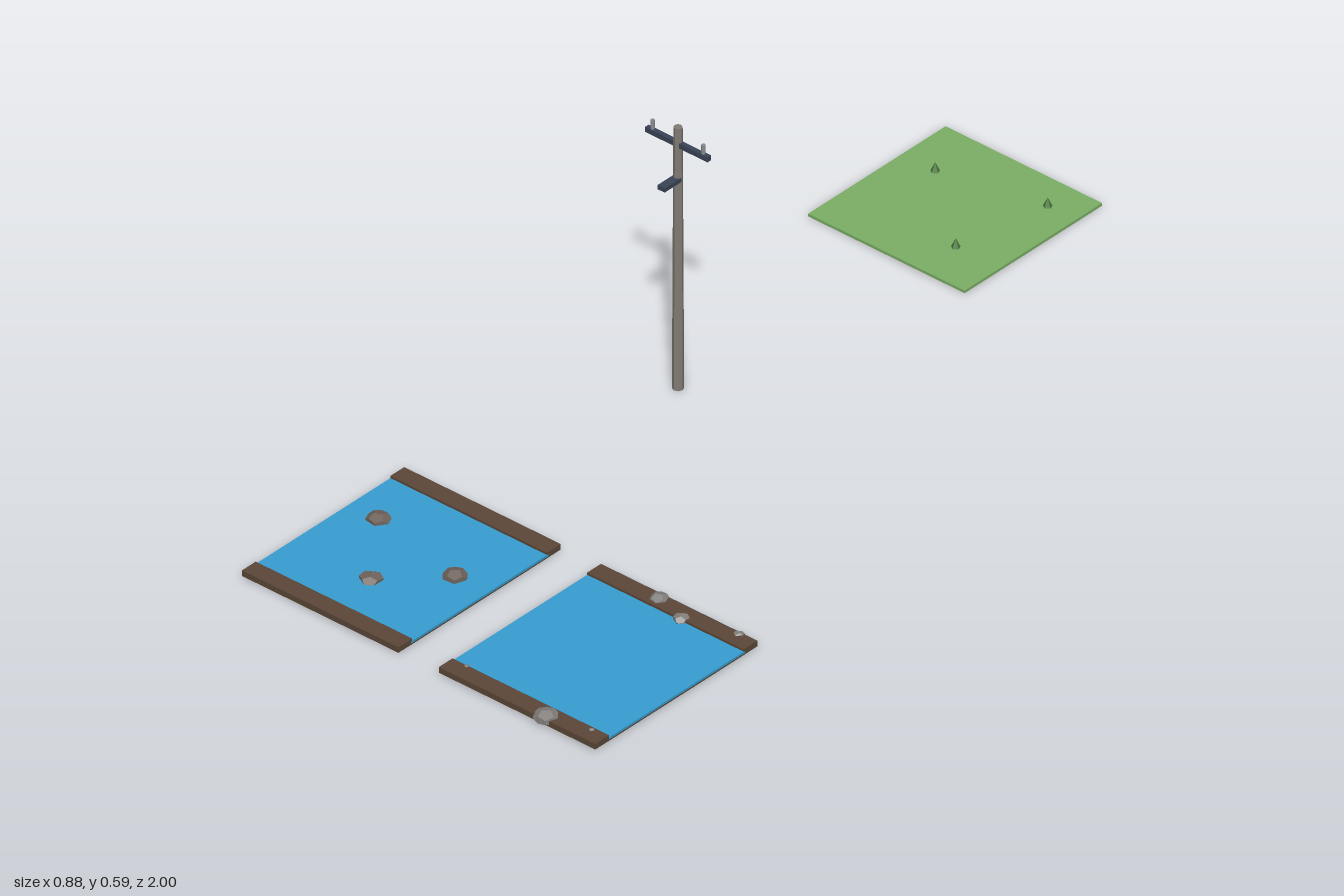
import * as THREE from 'three';

const mat = (name, color, flatShading = true) => {
  const m = new THREE.MeshStandardMaterial({ color, flatShading });
  m.name = name;
  return m;
};

export function createModel() {
  const model = new THREE.Group();
  model.name = 'riverAndPoleSet';
  const water = mat('water', 0x379fd2);
  const dirt = mat('dirt', 0x5c4838);
  const grass = mat('grass', 0x7cb065);
  const tuftGreen = mat('tuftGreen', 0x4c7a3e);
  const wood = mat('weatheredWood', 0x827d75);
  const metal = mat('darkMetal', 0x3a4456);
  const ceramic = mat('ceramic', 0x8a8d90);
  const riverRock = mat('riverRock', 0x71665e);
  const bankRock = mat('bankRock', 0x85827f);

  const add = (parent, name, geometry, material, x, y, z) => {
    const mesh = new THREE.Mesh(geometry, material);
    mesh.name = name;
    mesh.position.set(x, y, z);
    parent.add(mesh);
    return mesh;
  };
  const group = (name, x, z) => {
    const g = new THREE.Group();
    g.name = name;
    g.position.set(x, 0, z);
    model.add(g);
    return g;
  };
  const box = (w, h, d) => new THREE.BoxGeometry(w, h, d);

  // Squashed, turned stones: [x, y, z, radius, half height]
  const addRocks = (parent, material, list) => list.forEach(([x, y, z, r, h], i) => {
    const geo = new THREE.DodecahedronGeometry(1, 0);
    geo.rotateY(i * 1.7 + 0.4);
    geo.scale(r, h, r);
    add(parent, 'rock', geo, material, x, y, z);
  });

  // River tiles: bed, water sheet and a raised bank on each side
  const S = 0.388;
  const riverTile = (name, x) => {
    const tile = group(name, x, 0.757);
    add(tile, 'riverBed', box(S, 0.003, S), dirt, 0, 0.0042, 0);
    add(tile, 'waterSheet', box(S, 0.005, S), water, 0, 0.008, 0);
    for (const side of [-1, 1])
      add(tile, 'bank', box(S, 0.0125, 0.039), dirt, 0, 0.0092, side * 0.2095);
    return tile;
  };
  const rocky = riverTile('rockyRiverTile', -0.245);
  addRocks(rocky, riverRock, [
    [-0.12, 0.012, -0.072, 0.025, 0.012],
    [0, 0.011, 0.085, 0.025, 0.01],
    [0.114, 0.013, -0.022, 0.025, 0.014],
  ]);
  const clear = riverTile('clearRiverTile', 0.243);
  addRocks(clear, bankRock, [
    [-0.038, 0.012, -0.215, 0.021, 0.013],
    [0.036, 0.012, -0.194, 0.017, 0.01],
    [0.062, 0.0135, 0.217, 0.026, 0.013],
    [0.152, 0.012, -0.224, 0.012, 0.007],
    [0.157, 0.012, 0.197, 0.008, 0.006],
    [-0.158, 0.012, 0.192, 0.008, 0.005],
  ]);

  // Grass tile with three little cone tufts
  const lawn = group('grassTile', -0.245, -0.806);
  add(lawn, 'lawn', box(S, 0.006, S), grass, 0, 0.004, 0);
  for (const [x, z] of [[-0.11, -0.069], [0.125, -0.119], [0.086, 0.096]])
    add(lawn, 'grassTuft', new THREE.ConeGeometry(0.01, 0.021, 5), tuftGreen, x, 0.0165, z);

  // Utility pole
  const pole = group('utilityPole', -0.245, -0.024);
  add(pole, 'post', new THREE.CylinderGeometry(0.0088, 0.0115, 0.587, 8), wood, 0, 0.2935, 0);
  add(pole, 'crossarm', box(0.155, 0.011, 0.01), metal, 0, 0.549, 0);
  for (const side of [-1, 1])
    add(pole, 'insulator', new THREE.CylinderGeometry(0.0042, 0.0042, 0.02, 8), ceramic, side * 0.063, 0.5645, 0);
  add(pole, 'bracket', box(0.018, 0.009, 0.048), metal, 0, 0.4715, 0.024);

  return model;
}
